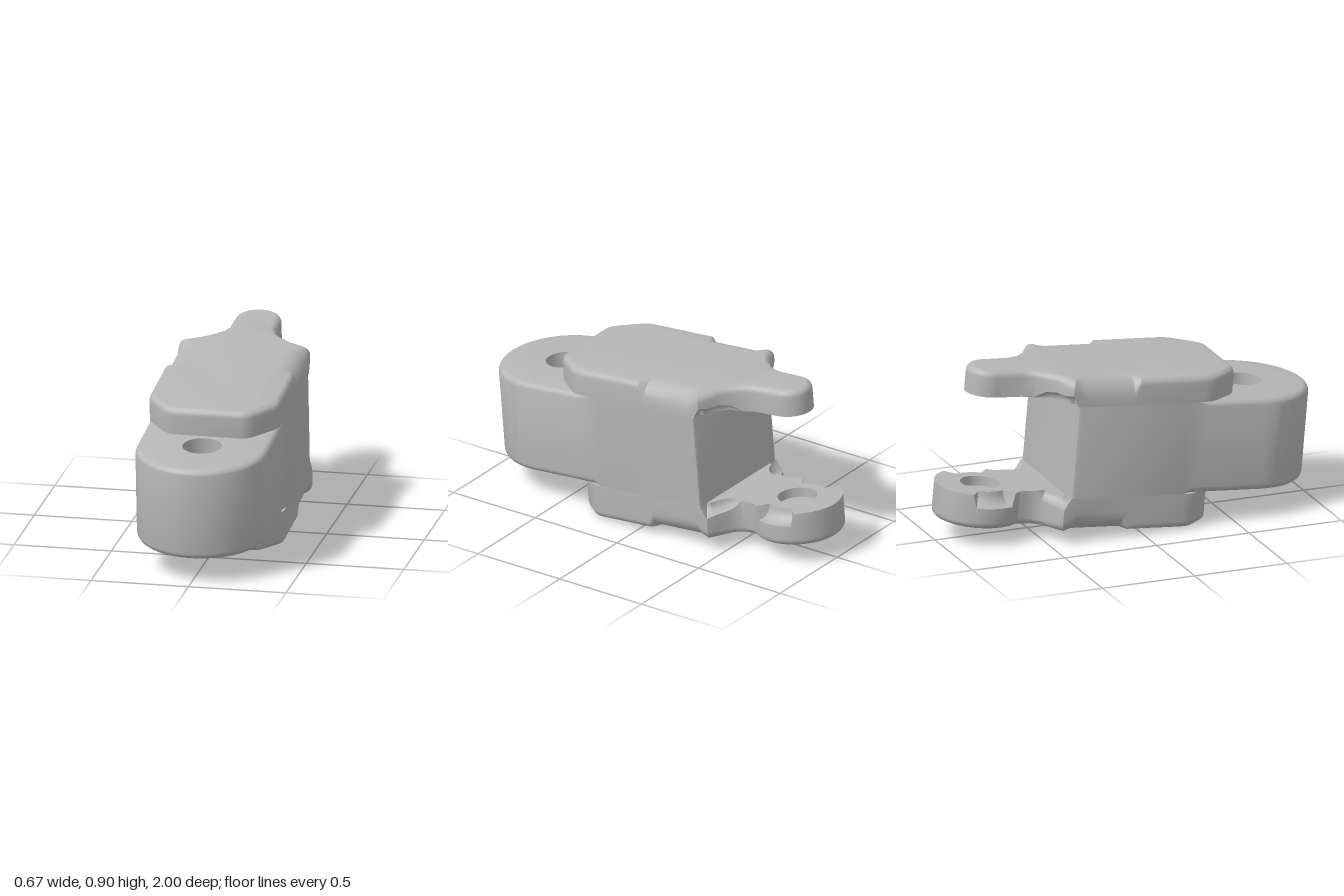
import * as THREE from 'three';
import { toCreasedNormals } from 'three/addons/utils/BufferGeometryUtils.js';

const STEPS = 6;

// Outline points are [x, z, bottomRadius, topRadius]; a negative radius makes a concave scoop.
function arc(cz, r, from, to, n, rb, rt) {
  return Array.from({ length: n + 1 }, (_, i) => {
    const deg = from + ((to - from) * i) / n, a = THREE.MathUtils.degToRad(deg);
    const val = (v) => (typeof v === 'function' ? v(deg) : v);
    return [r * Math.cos(a), cz - r * Math.sin(a), val(rb), val(rt)];
  });
}

// Right half outline, front to back, completed by mirroring
function mirrorOutline(half) {
  const other = half.filter((p) => p[0] > 1e-5).reverse().map(([x, ...rest]) => [-x, ...rest]);
  return [...half, ...other];
}

// Vertical prism whose edge radius can change from point to point
function roundedPrism(half, y0, y1, hole = {}) {
  const pts = mirrorOutline(half), n = pts.length;
  const v = pts.map((p) => new THREE.Vector2(p[0], -p[1]));
  const normals = v.map((p, i) => {
    const d = v[(i + 1) % n].clone().sub(p).normalize();
    return new THREE.Vector2(d.y, -d.x);
  });
  const miter = v.map((_, i) => {
    const a = normals[(i + n - 1) % n], b = normals[i];
    return a.clone().add(b).divideScalar(1 + a.dot(b));
  });
  const ring = (t, top) => pts.map((p, i) => {
    const s = top ? p[3] : p[2], r = Math.abs(s), c = Math.cos(t), k = Math.sin(t);
    const inset = s < 0 ? r * c : r * (1 - k);
    const rise = s < 0 ? r * k : r * (1 - c);
    const q = v[i].clone().addScaledVector(miter[i], -inset);
    return new THREE.Vector3(q.x, top ? y1 - rise : y0 + rise, -q.y);
  });
  const rings = [];
  for (let i = 0; i <= STEPS; i++) rings.push(ring((i / STEPS) * Math.PI / 2, false));
  for (let i = STEPS; i >= 0; i--) rings.push(ring((i / STEPS) * Math.PI / 2, true));

  const pos = [];
  const tri = (a, b, c) => {
    const area = b.clone().sub(a).cross(c.clone().sub(a)).length();
    if (area > 1e-9) pos.push(...a.toArray(), ...b.toArray(), ...c.toArray());
  };
  for (let j = 0; j < rings.length - 1; j++) {
    for (let i = 0; i < n; i++) {
      const k = (i + 1) % n, lo = rings[j], hi = rings[j + 1];
      tri(lo[i], lo[k], hi[k]);
      tri(lo[i], hi[k], hi[i]);
    }
  }
  // Flat caps, pierced where the hole opens
  const cap = (loop, y, top, open) => {
    const contour = loop.map((p) => new THREE.Vector2(p.x, -p.z));
    const holes = open ? [Array.from({ length: 32 }, (_, i) => {
      const a = (-i / 32) * Math.PI * 2;
      return new THREE.Vector2(hole.r * Math.cos(a), -hole.z + hole.r * Math.sin(a));
    })] : [];
    const all = [...contour, ...holes.flat()].map((p) => new THREE.Vector3(p.x, y, -p.y));
    for (const [a, b, c] of THREE.ShapeUtils.triangulateShape(contour, holes)) {
      if (top) tri(all[a], all[b], all[c]);
      else tri(all[a], all[c], all[b]);
    }
  };
  cap(rings[0], y0, false, hole.bottom);
  cap(rings[rings.length - 1], y1, true, hole.top);
  const geo = new THREE.BufferGeometry();
  geo.setAttribute('position', new THREE.Float32BufferAttribute(pos, 3));
  return toCreasedNormals(geo, 0.55);
}

export function createModel() {
  const grey = new THREE.MeshStandardMaterial({ color: 0xb6b6b6, side: THREE.DoubleSide });
  grey.name = 'plain grey';
  const model = new THREE.Group();
  model.name = 'chainLink';
  const link = new THREE.Group();
  link.name = 'tiltedLink';
  link.rotation.x = THREE.MathUtils.degToRad(5);
  model.add(link);

  const add = (name, geometry) => {
    const mesh = new THREE.Mesh(geometry, grey);
    mesh.name = name;
    link.add(mesh);
    return mesh;
  };
  // Inner wall of a hole, facing its axis
  const bore = (name, r, z, y0, y1) => {
    const g = new THREE.CylinderGeometry(r, r, y1 - y0, 32, 1, true);
    g.scale(-1, 1, 1);
    const nrm = g.attributes.normal;
    for (let i = 0; i < nrm.count; i++) nrm.setXYZ(i, -nrm.getX(i), nrm.getY(i), -nrm.getZ(i));
    add(name, g.translate(0, (y0 + y1) / 2, z));
  };
  const floor = (name, r, z, y, up) => add(name,
    new THREE.CircleGeometry(r, 32).rotateX(up ? -Math.PI / 2 : Math.PI / 2).translate(0, y, z));

  const E = 0.035, R = 0.1, W = 0.335;
  const BOTTOM = 0.032, LOW = 0.212, HIGH = 0.695, TOP = 0.832;
  const LUG = -0.778;

  // Core with the rounded front tongue and its through hole
  add('coreAndTongue', roundedPrism([
    ...arc(0.609, W, -90, 0, 16, E, E),
    [W, 0.31, E, E], [W, 0.24, E, 0], [W, 0.18, 0, 0],
    [W, -0.395, 0, 0], [0.329, -0.409, 0, 0], [0.315, -0.415, 0, 0],
  ], LOW, HIGH, { r: 0.1, z: 0.605, top: true, bottom: true }));
  bore('tongueHole', 0.1, 0.605, LOW, HIGH);

  // Upper block running back into the narrow lug
  add('upperBlockAndLug', roundedPrism([
    [0.17, 0.479, 0, E], [0.205, 0.47, 0, E], [0.235, 0.443, 0, E],
    [0.318, 0.335, 0, E], [0.331, 0.305, 0, E], [W, 0.27, 0, E],
    [W, -0.085, 0, E], [W, -0.115, 0, R], [W, -0.38, 0, R], [W, -0.415, 0, 0.07],
    [W, -0.45, -0.06, 0.05], [0.29, -0.475, -0.05, 0.045], [0.23, -0.5, -0.05, E],
    [0.185, -0.54, -0.04, E], [0.142, -0.59, 0, E], [0.122, -0.64, 0, E],
    ...arc(LUG, 0.118, 0, 90, 10, 0, E),
  ], HIGH, TOP, { r: 0.09, z: LUG, bottom: true }));
  bore('upperLugRecess', 0.09, LUG, HIGH, HIGH + 0.05);
  floor('upperLugRecessFloor', 0.09, LUG, HIGH + 0.05, false);

  // Lower block running back into the wide round lug with scooped sides
  add('lowerBlockAndLug', roundedPrism([
    [0.19, 0.369, E, 0], [0.225, 0.361, E, 0], [0.25, 0.34, E, 0],
    [0.32, 0.26, E, 0], [0.332, 0.235, E, 0], [W, 0.2, E, 0],
    [W, -0.09, E, 0], [W, -0.12, R, 0], [W, -0.38, R, 0], [W, -0.415, 0.07, 0],
    [W, -0.45, 0.05, -0.06], [0.29, -0.475, 0.045, -0.05], [0.24, -0.495, E, -0.05],
    [0.2, -0.522, E, -0.04], [0.178, -0.56, E, 0], [0.174, -0.6, E, 0],
    ...arc(LUG, 0.23, -40, 90, 26, E, (deg) => (Math.abs(deg) < 29 ? -0.07 : 0)),
  ], BOTTOM, LOW, { r: 0.1, z: LUG, top: true }));
  bore('lowerLugRecess', 0.1, LUG, LOW - 0.05, LOW);
  floor('lowerLugRecessFloor', 0.1, LUG, LOW - 0.05, true);

  return model;
}
